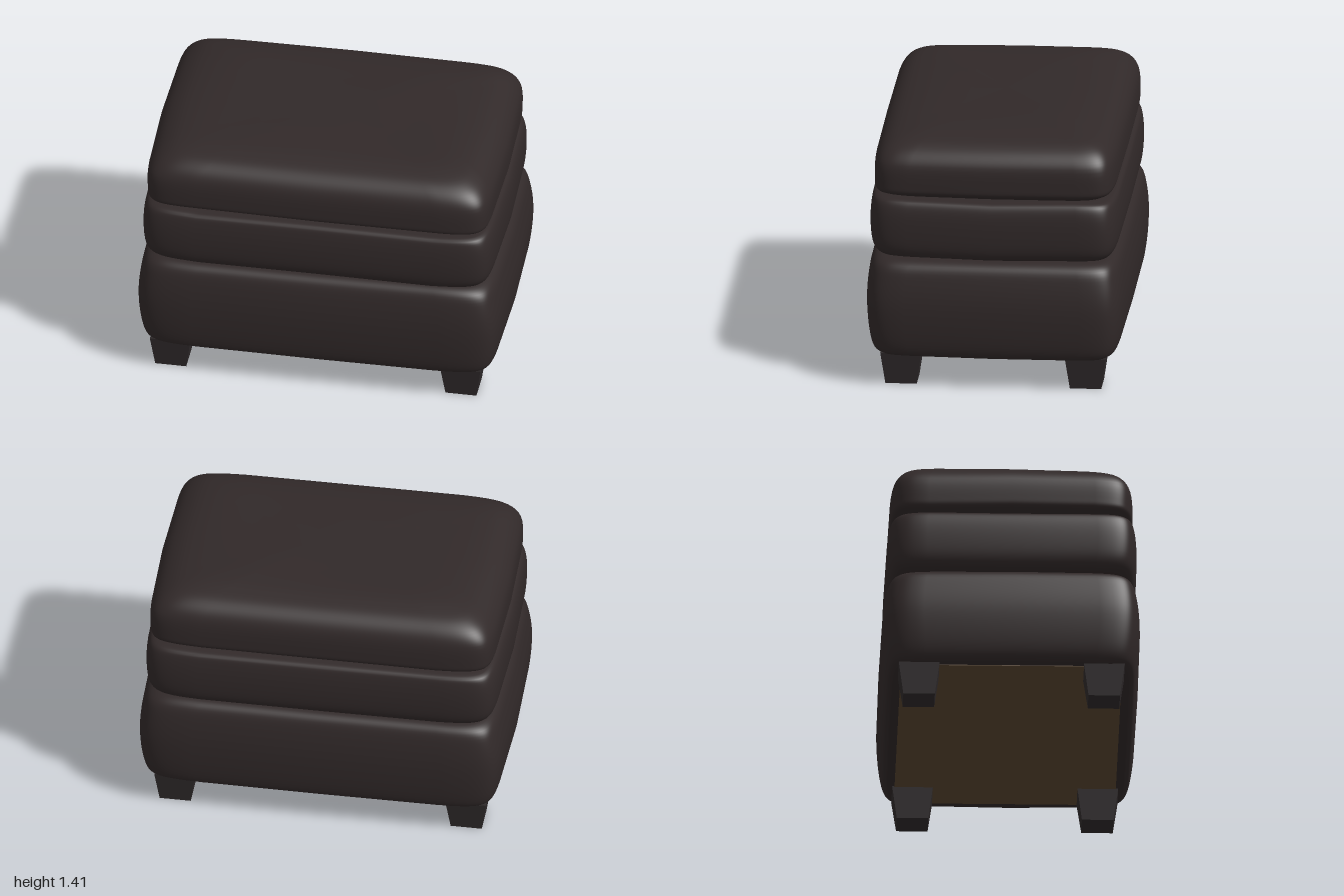
import * as THREE from 'three';

const leather = new THREE.MeshStandardMaterial({ color: 0x312929 });
leather.name = 'dark brown leather';
const legWood = new THREE.MeshStandardMaterial({ color: 0x2e292a });
legWood.name = 'dark leg';
const liner = new THREE.MeshStandardMaterial({ color: 0x5a4630 });
liner.name = 'brown underside cloth';

const SEGMENTS = 96;
const corner = (v) => Math.sign(v) * Math.pow(Math.abs(v), 2 / 15);

// Soft block lofted through squarish rings; each profile entry is [y, half width, half depth]
function cushion(name, profile, { x = 0, z = 0, tilt = 0, phase = 0, wrinkle = 0.005 } = {}) {
  const curve = new THREE.CatmullRomCurve3(
    profile.map(([y, w, d]) => new THREE.Vector3(w, y, d)), false, 'centripetal');
  const rings = curve.getPoints(profile.length * 4);
  const positions = [];
  const index = [];
  rings.forEach((ring, i) => {
    // Wrinkles fade out at the flat bottom
    const fade = Math.min(1, i / 6) * wrinkle;
    for (let j = 0; j < SEGMENTS; j++) {
      const a = (j / SEGMENTS) * Math.PI * 2;
      const u = corner(Math.cos(a));
      const v = corner(Math.sin(a));
      // Sides bow outward slightly toward their middles
      const px = u * ring.x * (1 - 0.025 * v * v);
      const pz = v * ring.z * (1 - 0.025 * u ** 4);
      const wave = Math.sin(px * 7 + phase) * Math.cos(pz * 6 + phase * 2);
      positions.push(px + x, ring.y + fade * wave - tilt * pz * (i / rings.length), pz + z);
    }
  });
  for (let i = 0; i < rings.length - 1; i++) {
    for (let j = 0; j < SEGMENTS; j++) {
      const a = i * SEGMENTS + j;
      const b = i * SEGMENTS + ((j + 1) % SEGMENTS);
      index.push(a, a + SEGMENTS, b, b, a + SEGMENTS, b + SEGMENTS);
    }
  }
  // Close the bottom and the top
  const bottom = positions.length / 3;
  const top = bottom + 1;
  const last = (rings.length - 1) * SEGMENTS;
  positions.push(x, rings[0].y, z, x, rings[rings.length - 1].y + 0.002, z);
  for (let j = 0; j < SEGMENTS; j++) {
    const k = (j + 1) % SEGMENTS;
    index.push(bottom, j, k, top, last + k, last + j);
  }
  const geometry = new THREE.BufferGeometry();
  geometry.setAttribute('position', new THREE.Float32BufferAttribute(positions, 3));
  geometry.setIndex(index);
  geometry.computeVertexNormals();
  const mesh = new THREE.Mesh(geometry, leather);
  mesh.name = name;
  return mesh;
}

// Square leg that narrows toward the floor
function legGeometry() {
  const geometry = new THREE.BoxGeometry(0.22, 0.178, 0.22);
  geometry.translate(0, 0.089, 0);
  const p = geometry.attributes.position;
  for (let i = 0; i < p.count; i++) {
    if (p.getY(i) < 0.05) {
      p.setX(i, p.getX(i) * 0.77);
      p.setZ(i, p.getZ(i) * 0.77);
    }
  }
  geometry.computeVertexNormals();
  return geometry;
}

export function createModel() {
  const model = new THREE.Group();
  model.name = 'footstool';

  // Three stacked upholstered layers
  model.add(cushion('baseCushion', [
    [0.176, 0.935, 0.64], [0.2, 0.962, 0.665], [0.28, 0.985, 0.685], [0.46, 1.0, 0.698],
    [0.6, 0.985, 0.688], [0.68, 0.962, 0.668], [0.712, 0.92, 0.635], [0.72, 0.84, 0.56],
  ], { wrinkle: 0.004 }));
  model.add(cushion('middleCushion', [
    [0.722, 0.87, 0.58], [0.735, 0.93, 0.638], [0.775, 0.957, 0.664], [0.88, 0.97, 0.677],
    [1.0, 0.964, 0.671], [1.045, 0.945, 0.657], [1.06, 0.89, 0.6],
  ], { x: -0.004, z: 0.004, phase: 1.3 }));
  model.add(cushion('topCushion', [
    [1.062, 0.88, 0.59], [1.08, 0.92, 0.625], [1.1, 0.945, 0.652], [1.14, 0.95, 0.657],
    [1.25, 0.945, 0.652], [1.31, 0.908, 0.625], [1.355, 0.84, 0.57], [1.38, 0.75, 0.48],
    [1.393, 0.62, 0.38], [1.4, 0.35, 0.2],
  ], { x: -0.004, z: 0.002, tilt: 0.02, phase: 2.4 }));

  // Cloth panel under the base
  const panel = new THREE.Mesh(new THREE.BoxGeometry(1.76, 0.006, 1.19), liner);
  panel.name = 'undersidePanel';
  panel.position.y = 0.175;
  model.add(panel);

  // Four tapered legs
  const geometry = legGeometry();
  for (const [side, sx] of [['Left', 1], ['Right', -1]]) {
    for (const [end, sz] of [['front', 1], ['back', -1]]) {
      const leg = new THREE.Mesh(geometry, legWood);
      leg.name = `${end}${side}Leg`;
      leg.position.set(sx * 0.792 - 0.008, 0, sz * 0.498);
      model.add(leg);
    }
  }
  return model;
}
